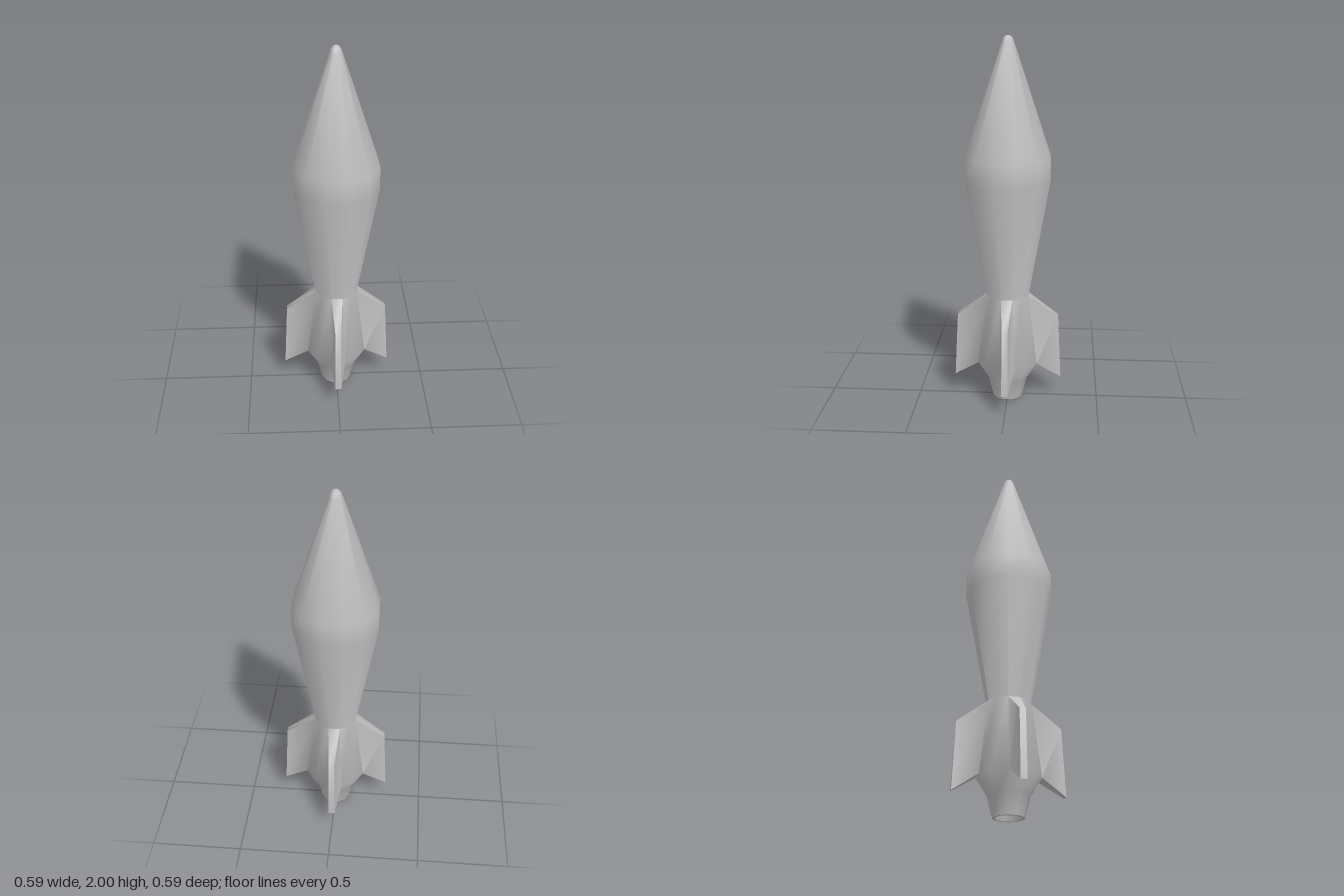
import * as THREE from 'three';
import { toCreasedNormals } from 'three/addons/utils/BufferGeometryUtils.js';

const SIDES = 12;
const STEP = (Math.PI * 2) / SIDES;

// Bands of the hull, bottom to top: each runs through rings of [distance to flat side, y]
const BANDS = {
  nozzle: [[0, 0.03], [0.06, 0.03], [0.068, 0], [0.08, 0], [0.106, 0.11]],
  tailFlare: [[0.106, 0.11], [0.163, 0.205]],
  tail: [[0.163, 0.205], [0.114, 0.6]],
  body: [[0.114, 0.6], [0.227, 1.24], [0.227, 1.365]],
  nose: [[0.227, 1.365], [0.033, 1.96], [0.024, 1.985], [0.012, 1.997], [0, 2]],
};

// Outer edge of a fin: [distance from axis, y, half thickness]
const FIN_BOTTOM = [0.296, 0.12, 0.017];
const FIN_TOP = [0.278, 0.48, 0.016];

// Point at a distance along a direction, shifted sideways
function place(angle, out, y, side) {
  const s = Math.sin(angle), c = Math.cos(angle);
  return [out * s + side * c, y, out * c - side * s];
}

export function createModel() {
  const group = new THREE.Group();
  group.name = 'rocket';
  const grey = new THREE.MeshStandardMaterial({ color: 0xc0c0c0 });
  grey.name = 'plain grey';

  const parts = {};
  const tri = (name, ...pts) => (parts[name] ??= []).push(...pts.flat());
  const quad = (name, a, b, c, d) => {
    tri(name, a, b, c);
    tri(name, a, c, d);
  };

  // Twelve-sided hull, with a fin drawn out of every third tail panel
  for (const [name, rings] of Object.entries(BANDS)) {
    for (let k = 0; k < rings.length - 1; k++) {
      const [r0, y0] = rings[k], [r1, y1] = rings[k + 1];
      const w0 = r0 * Math.tan(STEP / 2), w1 = r1 * Math.tan(STEP / 2);
      for (let i = 0; i < SIDES; i++) {
        const t = i * STEP;
        const a = place(t, r0, y0, -w0), b = place(t, r0, y0, w0);
        const c = place(t, r1, y1, w1), d = place(t, r1, y1, -w1);
        if (name === 'tail' && i % 3 === 0) {
          addFin(['frontFin', 'leftFin', 'backFin', 'rightFin'][i / 3], t, a, b, c, d);
        } else if (r0 === 0) tri(name, a, c, d);
        else if (r1 === 0) tri(name, a, b, c);
        else quad(name, a, b, c, d);
      }
    }
  }

  // Tapered swept fin on the panel a, b, c, d
  function addFin(name, t, a, b, c, d) {
    const [rb, yb, wb] = FIN_BOTTOM, [rt, yt, wt] = FIN_TOP;
    const e = place(t, rb, yb, -wb), f = place(t, rb, yb, wb);
    const g = place(t, rt, yt, wt), h = place(t, rt, yt, -wt);
    quad(name, e, f, g, h); // outer edge
    quad(name, f, b, c, g); // sides
    quad(name, a, e, h, d);
    quad(name, h, g, c, d); // top
    quad(name, a, b, f, e); // bottom
  }

  // Shade all parts together so the joins stay smooth, then split into meshes
  const all = new THREE.BufferGeometry();
  all.setAttribute('position', new THREE.Float32BufferAttribute(Object.values(parts).flat(), 3));
  const shaded = toCreasedNormals(all, Math.PI / 3);
  let start = 0;
  for (const [name, coords] of Object.entries(parts)) {
    const end = start + coords.length;
    const geometry = new THREE.BufferGeometry();
    for (const key of ['position', 'normal']) {
      const slice = shaded.getAttribute(key).array.slice(start, end);
      geometry.setAttribute(key, new THREE.BufferAttribute(slice, 3));
    }
    const mesh = new THREE.Mesh(geometry, grey);
    mesh.name = name;
    group.add(mesh);
    start = end;
  }
  return group;
}
